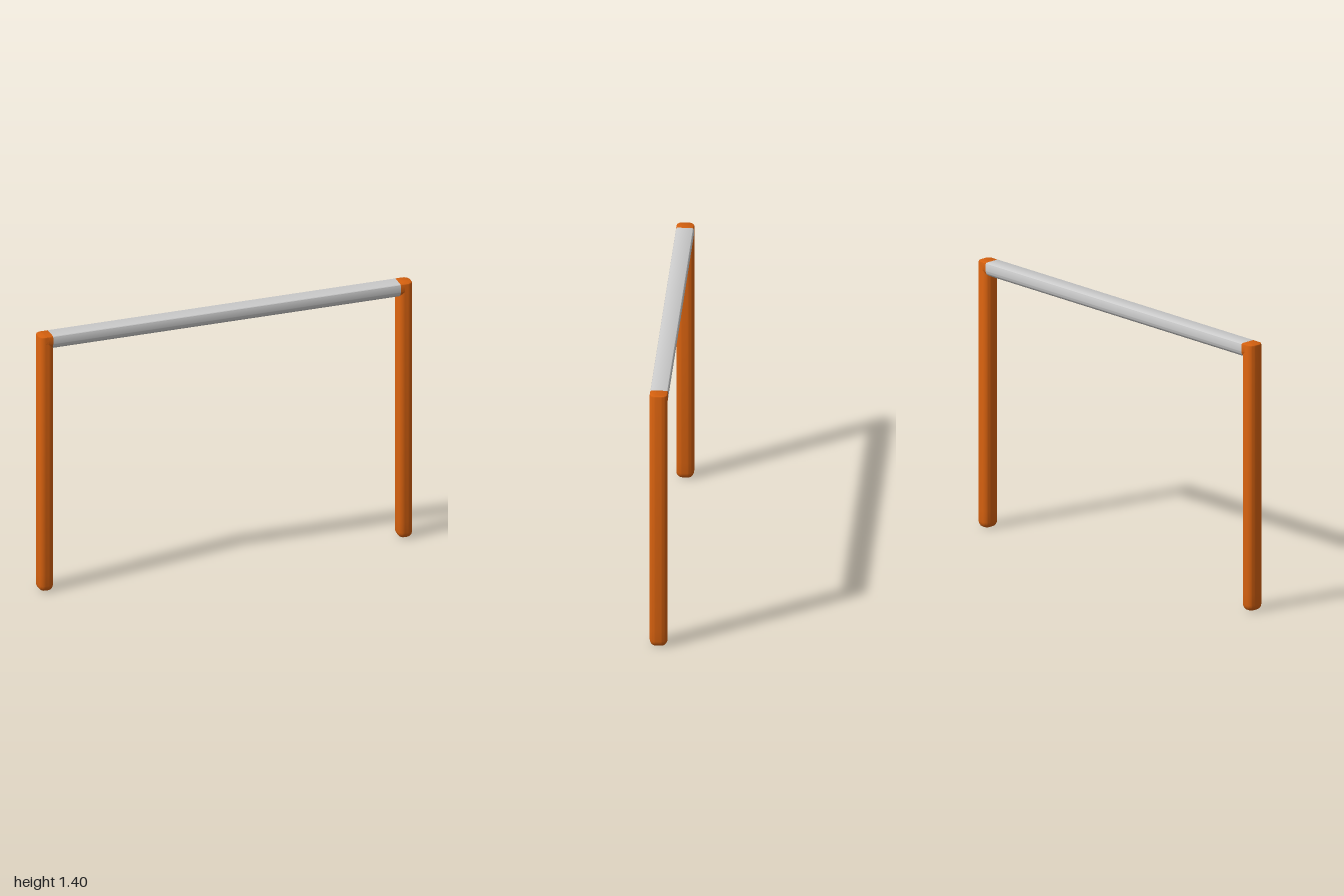
import * as THREE from 'three';
import { toCreasedNormals } from 'three/addons/utils/BufferGeometryUtils.js';

const HEIGHT = 1.405, HALF_DEPTH = 0.045, LEG_HALF = 0.039;

// Rounded rectangle outline in the ground plane, counter-clockwise in (x, z)
function ring(hx, hz, r, steps = 6) {
  const pts = [];
  [[1, 1], [-1, 1], [-1, -1], [1, -1]].forEach(([sx, sz], q) => {
    for (let i = 0; i <= steps; i++) {
      const a = (q + i / steps) * Math.PI / 2;
      pts.push([sx * (hx - r) + r * Math.cos(a), sz * (hz - r) + r * Math.sin(a)]);
    }
  });
  return pts;
}

// Upright post lofted through inset rings: domed foot, softly bevelled top
function postGeometry() {
  const levels = [];
  for (let i = 0; i <= 5; i++) {
    const a = (i / 5) * Math.PI / 2;
    levels.push([0.032 * (1 - Math.cos(a)), 0.026 * (1 - Math.sin(a))]);
  }
  levels.push([0.09, 0], [HEIGHT - 0.008, 0], [HEIGHT - 0.003, 0.002], [HEIGHT, 0.008]);
  const pos = [], idx = [];
  levels.forEach(([y, d]) =>
    ring(LEG_HALF - d, HALF_DEPTH - d, 0.031 - d).forEach(([x, z]) => pos.push(x, y, z)));
  const n = pos.length / 3 / levels.length;
  for (let l = 0; l < levels.length - 1; l++) {
    for (let i = 0; i < n; i++) {
      const a = l * n + i, b = l * n + (i + 1) % n;
      idx.push(a, a + n, b, b, a + n, b + n);
    }
  }
  const top = (levels.length - 1) * n;
  for (let i = 1; i < n - 1; i++) {
    idx.push(0, i, i + 1, top, top + i + 1, top + i);
  }
  const g = new THREE.BufferGeometry();
  g.setAttribute('position', new THREE.Float32BufferAttribute(pos, 3));
  g.setIndex(idx);
  return toCreasedNormals(g, 0.7);
}

// Crossbar section: flat top with small corners, rounded underside
function barGeometry(length) {
  const w = HALF_DEPTH, h = 0.075, r = 0.034, t = 0.01;
  const s = new THREE.Shape();
  s.moveTo(-w + r, -h);
  s.lineTo(w - r, -h);
  s.absarc(w - r, -h + r, r, -Math.PI / 2, 0, false);
  s.lineTo(w, -t);
  s.absarc(w - t, -t, t, 0, Math.PI / 2, false);
  s.lineTo(-w + t, 0);
  s.absarc(-w + t, -t, t, Math.PI / 2, Math.PI, false);
  s.lineTo(-w, -h + r);
  s.absarc(-w + r, -h + r, r, Math.PI, Math.PI * 1.5, false);
  const g = new THREE.ExtrudeGeometry(s, { depth: length, bevelEnabled: false, curveSegments: 6 });
  g.translate(0, HEIGHT, -length / 2);
  g.rotateY(Math.PI / 2);
  return toCreasedNormals(g, 0.7);
}

export function createModel() {
  const orange = new THREE.MeshStandardMaterial({ name: 'orange', color: 0xd4600f });
  const grey = new THREE.MeshStandardMaterial({ name: 'light grey', color: 0xcccccc });
  const model = new THREE.Group();
  model.name = 'frame';
  const add = (name, geometry, material, x) => {
    const mesh = new THREE.Mesh(geometry, material);
    mesh.name = name;
    mesh.position.x = x;
    model.add(mesh);
  };

  add('crossbar', barGeometry(1.86), grey, 0);

  // Posts, each with a corner piece joining it to the crossbar
  const post = postGeometry(), corner = barGeometry(0.035);
  for (const [side, s] of [['left', 1], ['right', -1]]) {
    add(side + 'Post', post, orange, s * (1 - LEG_HALF));
    add(side + 'Corner', corner, orange, s * (0.93 + 0.0175));
  }
  return model;
}
